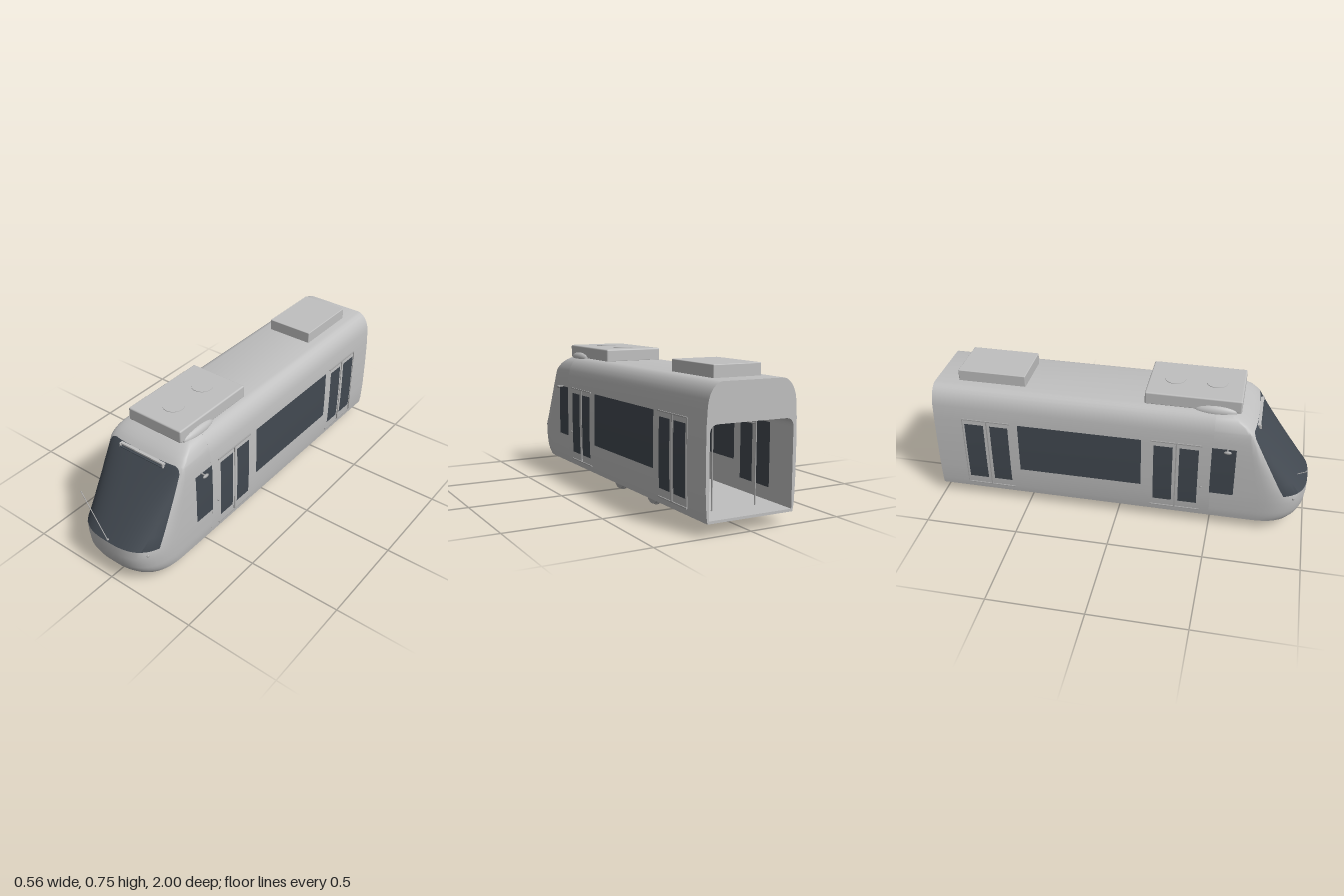
import * as THREE from 'three';
import { toCreasedNormals } from 'three/addons/utils/BufferGeometryUtils.js';
import { RoundedBoxGeometry } from 'three/addons/geometries/RoundedBoxGeometry.js';

// half width and nose tip (z) of the shell at each height
const WIDTH = [[0.062, 0.232], [0.1, 0.238], [0.2, 0.243], [0.35, 0.244], [0.5, 0.242], [0.58, 0.237], [0.61, 0.232],
  [0.635, 0.223], [0.655, 0.211], [0.67, 0.197], [0.68, 0.182], [0.685, 0.165]];
const TIP = [[0.062, 0.95], [0.09, 0.975], [0.13, 0.993], [0.19, 1], [0.24, 1], [0.61, 0.71],
  [0.64, 0.68], [0.665, 0.64], [0.68, 0.61], [0.685, 0.58]];
const JOINT = 0.5;

function at(table, y) {
  if (y <= table[0][0]) return table[0][1];
  for (let i = 1; i < table.length; i++) {
    const [y0, v0] = table[i - 1], [y1, v1] = table[i];
    if (y <= y1) return v0 + (v1 - v0) * (y - y0) / (y1 - y0);
  }
  return table[table.length - 1][1];
}

// nose: stacked plan outlines with superelliptic corners; group 1 is the windscreen
function noseGeometry() {
  const rows = [0.062, 0.075, 0.09, 0.11, 0.13, 0.19, 0.24, 0.3, 0.36, 0.42, 0.48, 0.54, 0.58, 0.6, 0.61,
    0.625, 0.64, 0.655, 0.665, 0.675, 0.68, 0.685];
  const EDGE = 5, MID = 10, pos = [], shell = [], glass = [];
  const half = EDGE + MID, cols = 2 * half + 3;
  for (const y of rows) {
    const w = at(WIDTH, y), tip = at(TIP, y);
    const len = THREE.MathUtils.clamp(0.25 - 0.6 * (y - 0.25), 0.04, 0.25);
    const edge = at([[0.58, 0.41], [0.6, 0.5], [0.61, 0.7]], y);
    const point = (k) => {
      const t = k <= EDGE ? edge * k / EDGE : edge + (Math.PI / 2 - edge) * (k - EDGE) / MID;
      return [w * Math.max(0, Math.cos(t)) ** (2 / 2.8), tip - len + len * Math.sin(t) ** (2 / 2.8)];
    };
    pos.push(w, y, JOINT);
    for (let k = 0; k <= 2 * half; k++) {
      const [x, z] = point(k <= half ? k : 2 * half - k);
      pos.push(k <= half ? x : -x, y, z);
    }
    pos.push(-w, y, JOINT);
  }
  for (let i = 0; i < rows.length - 1; i++) {
    for (let j = 0; j < cols - 1; j++) {
      const a = i * cols + j, b = a + 1, c = a + cols, d = c + 1;
      const isGlass = rows[i] >= 0.24 && rows[i + 1] <= 0.61 && j > EDGE && j < cols - 2 - EDGE;
      (isGlass ? glass : shell).push(a, c, b, b, c, d);
    }
  }
  // roof and floor of the nose
  const centre = pos.length / 3, top = (rows.length - 1) * cols;
  pos.push(0, rows[0], JOINT, 0, rows[rows.length - 1], JOINT);
  for (let j = 0; j < cols - 1; j++) shell.push(centre, j, j + 1, centre + 1, top + j + 1, top + j);
  const g = new THREE.BufferGeometry();
  g.setAttribute('position', new THREE.Float32BufferAttribute(pos, 3));
  g.setIndex([...shell, ...glass]);
  g.addGroup(0, shell.length, 0);
  g.addGroup(shell.length, glass.length, 1);
  return toCreasedNormals(g, 0.5);
}

// straight saloon: outer profile with the open interior cut through it
function saloonGeometry() {
  const right = WIDTH.map(([y, w]) => new THREE.Vector2(w, y));
  const left = WIDTH.map(([y, w]) => new THREE.Vector2(-w, y)).reverse();
  const shape = new THREE.Shape([...right, ...left]);
  const W = 0.225, B = 0.075, T = 0.5, R = 0.045;
  const hole = new THREE.Path();
  hole.moveTo(-W, B);
  hole.lineTo(-W, T - R);
  hole.quadraticCurveTo(-W, T, -W + R, T);
  hole.lineTo(W - R, T);
  hole.quadraticCurveTo(W, T, W, T - R);
  hole.lineTo(W, B);
  hole.closePath();
  shape.holes.push(hole);
  const g = new THREE.ExtrudeGeometry(shape, { depth: JOINT + 1, bevelEnabled: false, curveSegments: 8 });
  return toCreasedNormals(g.translate(0, 0, -1), 0.5);
}

export function createModel() {
  const model = new THREE.Group();
  model.name = 'tram';
  const material = (name, color) => {
    const m = new THREE.MeshStandardMaterial({ color });
    m.name = name;
    return m;
  };
  const paint = material('light grey paint', 0xc0c0c0);
  const glass = material('dark glass', 0x424951);
  const metal = material('grey metal', 0xa8a8a8);

  const add = (name, geometry, mat, x = 0, y = 0, z = 0) => {
    const mesh = new THREE.Mesh(geometry, mat);
    mesh.name = name;
    mesh.position.set(x, y, z);
    model.add(mesh);
    return mesh;
  };
  const box = (name, mat, x, y, z, sx, sy, sz) => add(name, new THREE.BoxGeometry(sx, sy, sz), mat, x, y, z);
  const rod = (name, mat, from, to, r) => {
    const a = new THREE.Vector3(...from), b = new THREE.Vector3(...to);
    const mesh = add(name, new THREE.CylinderGeometry(r, r, a.distanceTo(b), 10), mat);
    mesh.position.copy(a).add(b).multiplyScalar(0.5);
    mesh.quaternion.setFromUnitVectors(new THREE.Vector3(0, 1, 0), b.sub(a).normalize());
    return mesh;
  };
  const ball = (name, mat, x, y, z, sx, sy, sz) => {
    const mesh = add(name, new THREE.SphereGeometry(1, 20, 14), mat, x, y, z);
    mesh.scale.set(sx, sy, sz);
    return mesh;
  };

  // shell
  add('saloonShell', saloonGeometry(), paint);
  add('noseShell', noseGeometry(), [paint, glass]);
  box('cabBulkhead', paint, 0, 0.2875, 0.495, 0.46, 0.435, 0.01);

  // side windows, outside following the wall and inside flat
  const windows = [[0.495, 0.62, 0.225, 0.51], [0.33, 0.43, 0.14, 0.485], [0.195, 0.295, 0.14, 0.485],
    [-0.535, 0.13, 0.225, 0.51], [-0.69, -0.59, 0.14, 0.485], [-0.83, -0.725, 0.14, 0.485]];
  for (const s of [1, -1]) {
    for (const [z0, z1, y0, y1] of windows) {
      const g = new THREE.PlaneGeometry(z1 - z0, y1 - y0, 1, 8).rotateY(s * Math.PI / 2);
      g.translate(0, (y0 + y1) / 2, (z0 + z1) / 2);
      const p = g.attributes.position;
      for (let i = 0; i < p.count; i++) p.setX(i, s * (at(WIDTH, p.getY(i)) + 0.0025));
      g.computeVertexNormals();
      add('sideWindow', g, glass);
      if (z1 > JOINT) continue;
      const h = Math.min(y1, 0.455) - y0;
      add('innerWindow', new THREE.PlaneGeometry(z1 - z0, h).rotateY(-s * Math.PI / 2), glass,
        s * 0.2225, y0 + h / 2, (z0 + z1) / 2);
    }
    // door rails, sills and centre seals
    for (const z of [0.313, -0.708]) {
      box('doorRail', metal, s * 0.242, 0.512, z, 0.01, 0.006, 0.265);
      box('doorSill', metal, s * 0.239, 0.097, z, 0.01, 0.006, 0.265);
      box('doorSeal', metal, s * 0.242, 0.305, z, 0.007, 0.41, 0.006);
    }
    box('doorEdge', metal, s * 0.242, 0.305, -0.842, 0.007, 0.41, 0.004);
    ball('doorButton', metal, s * 0.245, 0.255, 0.45, 0.004, 0.006, 0.006);

    // mirrors, lamps and roof fairings
    rod('mirrorArm', metal, [s * 0.235, 0.51, 0.575], [s * 0.272, 0.51, 0.575], 0.004);
    ball('mirror', metal, s * 0.272, 0.51, 0.577, 0.008, 0.009, 0.02);
    ball('headlamp', metal, s * 0.2, 0.213, 0.932, 0.006, 0.008, 0.008);
    ball('roofFairing', paint, s * 0.16, 0.68, 0.495, 0.027, 0.033, 0.11);

    // interior poles and overhead rails
    for (const z of [-0.86, -0.45, 0, 0.25]) rod('pole', metal, [s * 0.12, 0.07, z], [s * 0.12, 0.5, z], 0.004);
    rod('grabRail', metal, [s * 0.12, 0.46, -0.86], [s * 0.12, 0.46, 0.4], 0.004);
  }
  box('cabCounter', paint, 0, 0.15, 0.44, 0.44, 0.15, 0.1);

  // roof equipment
  add('frontRoofUnit', new RoundedBoxGeometry(0.33, 0.07, 0.495, 2, 0.008), paint, 0, 0.715, 0.378);
  add('rearRoofUnit', new RoundedBoxGeometry(0.26, 0.065, 0.367, 2, 0.004), paint, 0, 0.713, -0.693);
  for (const z of [0.265, 0.482]) {
    add('roofFan', new THREE.CylinderGeometry(0.055, 0.055, 0.004, 32), paint, 0, 0.751, z);
  }

  // destination frame at the top of the windscreen
  box('signTop', paint, 0, 0.606, 0.718, 0.28, 0.008, 0.016);
  box('signBottom', glass, 0, 0.592, 0.729, 0.27, 0.003, 0.008);
  for (const s of [1, -1]) box('signEnd', paint, s * 0.137, 0.599, 0.724, 0.006, 0.02, 0.014);

  // wiper
  rod('wiper', metal, [0, 0.253, 0.998], [-0.225, 0.397, 0.935], 0.0022);
  ball('wiperPivot', metal, 0, 0.253, 0.996, 0.006, 0.006, 0.006);

  // running gear: wheels show only below the floor
  const lowerDisc = (r, t) =>
    new THREE.CylinderGeometry(r, r, t, 20, 1, false, Math.PI, Math.PI).rotateZ(Math.PI / 2);
  for (const z of [-0.012, -0.383]) {
    rod('axle', metal, [-0.15, 0.055, z], [0.15, 0.055, z], 0.006);
    for (const s of [1, -1]) {
      add('wheel', lowerDisc(0.058, 0.022), metal, s * 0.157, 0.065, z);
      add('wheelFlange', lowerDisc(0.065, 0.007), metal, s * 0.149, 0.065, z);
      box('axleBox', metal, s * 0.178, 0.056, z, 0.022, 0.014, 0.05);
    }
  }
  for (const z of [-0.105, -0.29]) {
    rod('motor', metal, [-0.06, 0.056, z], [0.06, 0.056, z], 0.019);
    for (const s of [1, -1]) add('brakeDisc', lowerDisc(0.036, 0.009), metal, s * 0.098, 0.063, z);
  }
  return model;
}
